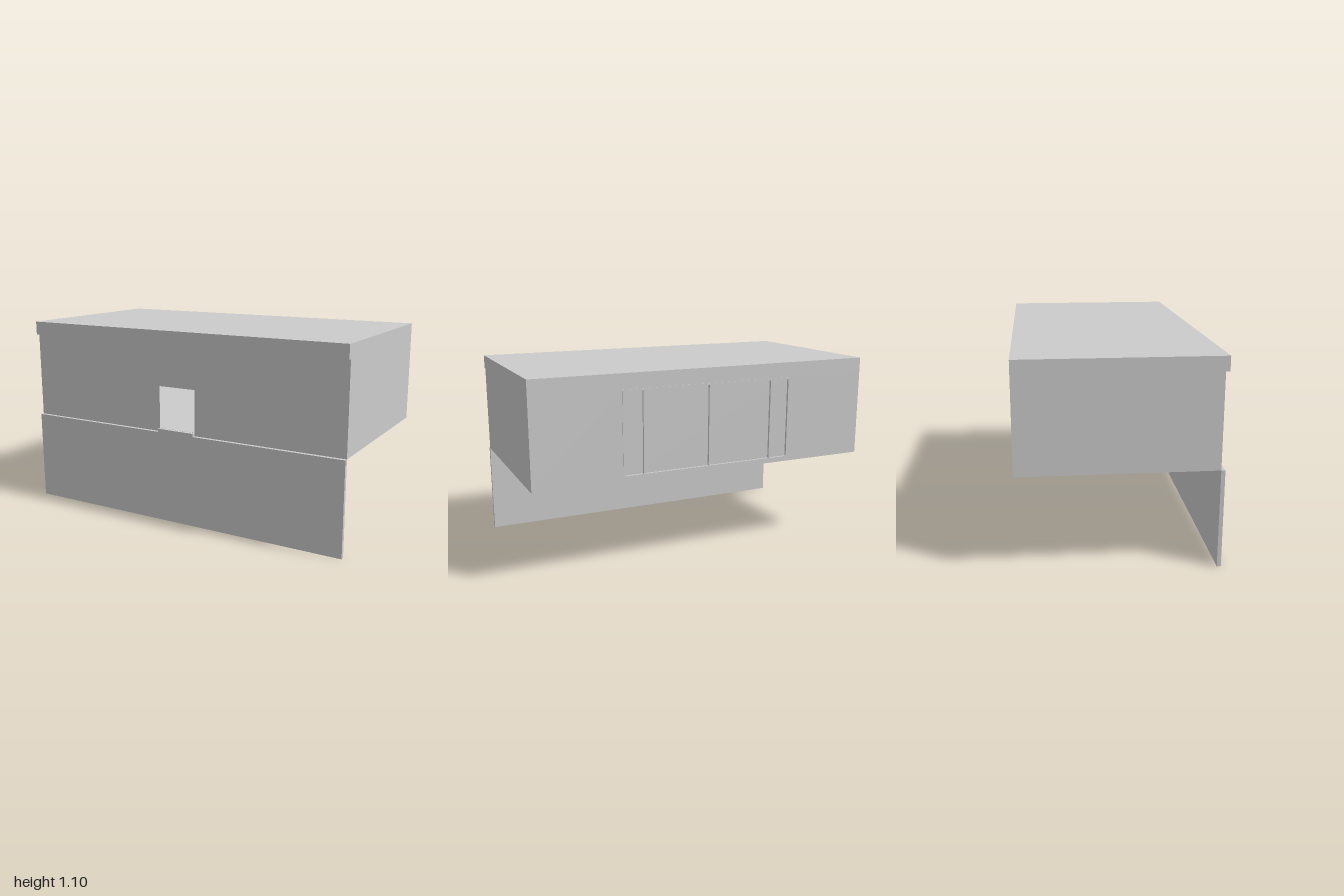
import * as THREE from 'three';

const FLOOR = 0.522, FLOOR_TOP = 0.54, CEILING = 1.02, ROOF = 1.097;
const FRONT = 0.501, FRONT_OUT = 0.522, BACK = -0.519, BACK_OUT = -0.522;

const grey = new THREE.MeshStandardMaterial({ color: 0xcccccc, flatShading: true });
const greyThin = new THREE.MeshStandardMaterial({ color: 0xcccccc, flatShading: true, side: THREE.DoubleSide });

function rect(target, x0, x1, y0, y1) {
  target.moveTo(x0, y0);
  target.lineTo(x1, y0);
  target.lineTo(x1, y1);
  target.lineTo(x0, y1);
  target.closePath();
  return target;
}
const panel = (...r) => rect(new THREE.Shape(), ...r);
const hole = (...r) => rect(new THREE.Path(), ...r);

export function createModel() {
  const model = new THREE.Group();
  model.name = 'balconyRoom';

  const add = (name, geometry, material = grey) => {
    const mesh = new THREE.Mesh(geometry, material);
    mesh.name = name;
    model.add(mesh);
    return mesh;
  };
  const box = (name, x0, x1, y0, y1, z0, z1) =>
    add(name, new THREE.BoxGeometry(x1 - x0, y1 - y0, z1 - z0))
      .position.set((x0 + x1) / 2, (y0 + y1) / 2, (z0 + z1) / 2);

  // Floor and roof slabs; the roof overhangs the front as a fascia
  box('floor', -1, 1, FLOOR, FLOOR_TOP, BACK, FRONT);
  box('roof', -1, 1, CEILING, ROOF, BACK, FRONT_OUT);

  // Thin front wall with a doorway
  const frontShape = panel(-1, 1, FLOOR_TOP, CEILING);
  frontShape.holes.push(hole(-0.115, 0.115, FLOOR_TOP + 0.0005, 0.905));
  add('frontWall', new THREE.ShapeGeometry(frontShape), greyThin).position.z = FRONT;

  // Thin side walls
  for (const side of [-1, 1]) {
    const wall = add(side > 0 ? 'leftWall' : 'rightWall',
      new THREE.PlaneGeometry(FRONT - BACK, CEILING - FLOOR_TOP), greyThin);
    wall.rotation.y = side * Math.PI / 2;
    wall.position.set(side, (FLOOR_TOP + CEILING) / 2, (FRONT + BACK) / 2);
  }

  // Thin back wall with a wide window opening
  const win = [-0.508, 0.508, FLOOR_TOP + 0.002, 1.012];
  const backShape = panel(-1, 1, FLOOR_TOP, CEILING);
  backShape.holes.push(hole(...win));
  add('backWall', new THREE.ShapeGeometry(backShape), greyThin).position.z = BACK;

  // Window frame: narrow, wide, wide, narrow lights between slim bars
  const frame = panel(...win);
  const bars = [-0.504, -0.387, 0, 0.387, 0.504];
  for (let i = 0; i < bars.length - 1; i++) {
    frame.holes.push(hole(bars[i] + 0.004, bars[i + 1] - 0.004, FLOOR_TOP + 0.012, 1.002));
  }
  add('windowFrame', new THREE.ExtrudeGeometry(frame, { depth: 0.015, bevelEnabled: false }))
    .position.z = BACK_OUT;

  // Recessed panes
  add('windowPanes', new THREE.ShapeGeometry(panel(...win)), greyThin).position.z = BACK_OUT + 0.013;

  // Lower front wall with the raised door sill
  box('lowerWall', -1, 1, 0, FLOOR, FRONT, FRONT_OUT);
  box('doorSill', -0.115, 0.115, FLOOR, FLOOR_TOP, FRONT, FRONT_OUT);

  return model;
}
